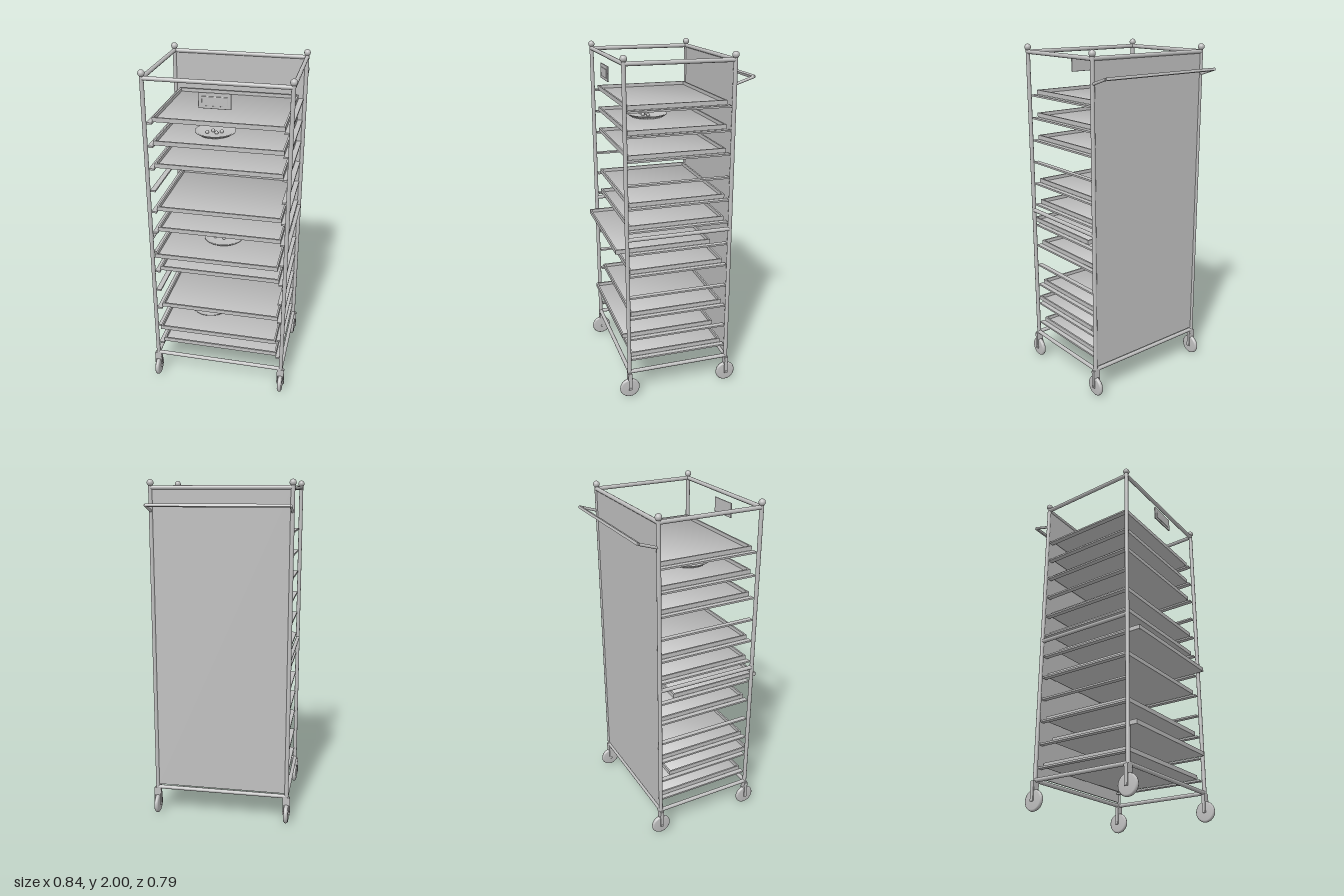
import * as THREE from 'three';
import { RoundedBoxGeometry } from 'three/addons/geometries/RoundedBoxGeometry.js';

const POST_X = 0.395, FRONT_Z = 0.333, BACK_Z = -0.275, TUBE_R = 0.012;
const MID_Z = (FRONT_Z + BACK_Z) / 2, DEPTH = FRONT_Z - BACK_Z;

export function createModel() {
  const steel = new THREE.MeshStandardMaterial({ color: 0xc0c0c0 });
  steel.name = 'steel grey';
  const root = new THREE.Group();
  root.name = 'trayTrolley';

  const add = (name, geometry, x = 0, y = 0, z = 0, parent = root) => {
    const mesh = new THREE.Mesh(geometry, steel);
    mesh.name = name;
    mesh.position.set(x, y, z);
    parent.add(mesh);
    return mesh;
  };
  const box = (name, w, h, d, x, y, z, parent) =>
    add(name, new THREE.BoxGeometry(w, h, d), x, y, z, parent);
  // round tube between two points
  const tube = (name, a, b, r = TUBE_R) => {
    const from = new THREE.Vector3(...a), to = new THREE.Vector3(...b);
    const dir = to.clone().sub(from);
    const mesh = add(name, new THREE.CylinderGeometry(r, r, dir.length(), 12));
    mesh.position.copy(from).add(to).multiplyScalar(0.5);
    mesh.quaternion.setFromUnitVectors(new THREE.Vector3(0, 1, 0), dir.normalize());
    return mesh;
  };

  // Corner posts, ball finials and casters
  for (const x of [-POST_X, POST_X]) {
    for (const z of [FRONT_Z, BACK_Z]) {
      tube('post', [x, 0.16, z], [x, 1.97, z]);
      add('postBall', new THREE.SphereGeometry(0.019, 16, 12), x, 1.981, z);

      const caster = new THREE.Group();
      caster.name = 'caster';
      caster.position.set(x, 0.06, z);
      root.add(caster);
      box('forkCrown', 0.044, 0.012, 0.022, 0, 0.095, 0, caster);
      box('forkSocket', 0.036, 0.05, 0.022, 0, 0.08, 0, caster);
      for (const s of [-1, 1]) box('forkPlate', 0.006, 0.105, 0.02, s * 0.019, 0.045, 0, caster);
      const tyre = [[0, -0.013], [0.05, -0.013], [0.057, -0.008], [0.06, 0], [0.057, 0.008], [0.05, 0.013], [0, 0.013]]
        .map(([r, y]) => new THREE.Vector2(r, y));
      add('wheel', new THREE.LatheGeometry(tyre, 24), 0, 0, 0, caster).rotation.z = Math.PI / 2;
      add('axle', new THREE.CylinderGeometry(0.008, 0.008, 0.048, 12), 0, 0, 0, caster).rotation.z = Math.PI / 2;
    }
  }

  // Top and bottom frame, with a middle bar on each side
  for (const y of [0.168, 1.955]) {
    for (const z of [FRONT_Z, BACK_Z]) tube('crossRail', [-POST_X, y, z], [POST_X, y, z]);
  }
  for (const x of [-POST_X, POST_X]) {
    for (const y of [0.168, 1.003, 1.955]) tube('sideRail', [x, y, BACK_Z], [x, y, FRONT_Z]);
  }

  // Back panel
  box('backPanel', 0.775, 1.76, 0.008, 0, 1.067, BACK_Z);

  // Push handle
  for (const x of [-POST_X, POST_X]) tube('handleArm', [x, 1.826, BACK_Z], [x, 1.861, -0.383], 0.008);
  const bar = box('handleBar', 0.79, 0.015, 0.017, 0, 1.861, -0.384);
  bar.rotation.x = 0.33;

  // Tray: softly shaded floor and an upright rim
  const floorGeo = new THREE.BoxGeometry(0.706, 0.005, 0.546);
  const pos = floorGeo.attributes.position, nor = floorGeo.attributes.normal;
  for (let i = 0; i < pos.count; i++) {
    const n = new THREE.Vector3(Math.sign(pos.getX(i)) * 0.5, Math.sign(pos.getY(i)), Math.sign(pos.getZ(i)) * 0.5).normalize();
    nor.setXYZ(i, n.x, n.y, n.z);
  }
  const rect = (T, w, d) => {
    const s = new T();
    s.moveTo(-w, -d);
    s.lineTo(w, -d);
    s.lineTo(w, d);
    s.lineTo(-w, d);
    s.closePath();
    return s;
  };
  const rim = rect(THREE.Shape, 0.359, 0.28);
  rim.holes.push(rect(THREE.Path, 0.349, 0.27));
  const rimGeo = new THREE.ExtrudeGeometry(rim, { depth: 0.025, bevelEnabled: false }).rotateX(-Math.PI / 2);

  // Round dish with small morsels on top
  const dishProfile = [[0, 0], [0.09, 0], [0.117, 0.018], [0.117, 0.021], [0.108, 0.021], [0.09, 0.012], [0, 0.012]]
    .map(([r, y]) => new THREE.Vector2(r, y));
  const dishGeo = new THREE.LatheGeometry(dishProfile, 32);
  const morselGeo = new THREE.SphereGeometry(0.011, 10, 8);
  const dishes = {
    10: { x: -0.065, z: 0.08, top: 0.024, spots: [[-0.04, 0.03], [-0.013, 0], [0.013, 0.03], [0.038, 0.005]] },
    5: { x: -0.015, z: 0.095, top: 0.021, spots: [[-0.05, 0.015], [0, -0.08], [0.035, 0], [0.005, 0.02]] },
    1: { x: -0.105, z: 0.085, top: 0.024, spots: [[-0.04, 0.035], [-0.01, -0.02], [0.012, 0.025]] },
  };
  const pulledOut = { 5: 0.08, 1: 0.054 };
  const emptySlots = [3, 8];

  // Twelve pairs of runners carrying the trays
  for (let i = 0; i < 12; i++) {
    const y = 0.238 + 0.1335 * i;
    for (const s of [-1, 1]) box('runner', 0.03, 0.01, DEPTH - 0.02, s * 0.373, y, MID_Z);
    if (emptySlots.includes(i)) continue;

    const tray = new THREE.Group();
    tray.name = 'tray';
    tray.position.set(0, y + 0.006, 0.03 + (pulledOut[i] || 0));
    root.add(tray);
    add('trayFloor', floorGeo, 0, 0.0025, 0, tray);
    add('trayRim', rimGeo, 0, 0, 0, tray);

    const d = dishes[i];
    if (!d) continue;
    add('dish', dishGeo, d.x, y + 0.006 + d.top - 0.018, d.z);
    for (const [x, z] of d.spots) add('morsel', morselGeo, d.x + x, y + 0.006 + d.top, d.z + z);
  }

  // Label holder on the front
  add('labelHolder', new RoundedBoxGeometry(0.175, 0.085, 0.008, 2, 0.003), -0.004, 1.863, 0.343);
  add('labelCard', new RoundedBoxGeometry(0.135, 0.05, 0.006, 2, 0.002), -0.004, 1.861, 0.347);

  return root;
}
